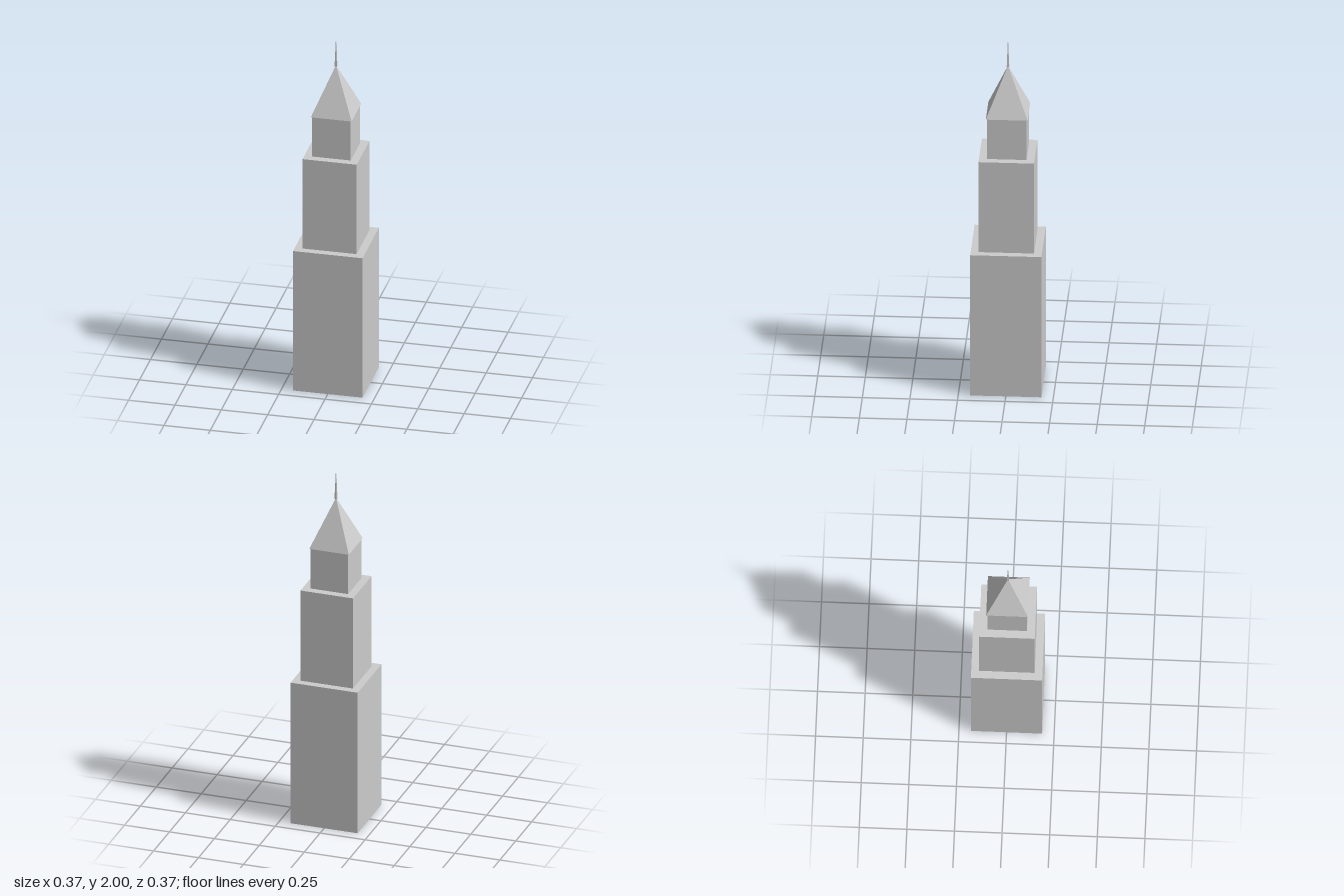
import * as THREE from 'three';

export function createModel() {
  const group = new THREE.Group();
  const stone = new THREE.MeshStandardMaterial({ color: 0xcccccc, side: THREE.DoubleSide });

  const add = (name, geometry) => {
    const mesh = new THREE.Mesh(geometry, stone);
    mesh.name = name;
    group.add(mesh);
  };

  // Square tier with walls and a flat top, open underneath
  const tier = (name, half, y0, y1) => {
    const geometry = new THREE.BoxGeometry(half * 2, y1 - y0, half * 2);
    geometry.translate(0, (y0 + y1) / 2, 0);
    const index = Array.from(geometry.index.array);
    index.splice(18, 6); // remove the bottom face
    geometry.setIndex(index);
    geometry.clearGroups();
    add(name, geometry);
  };

  // Four-sided pyramid with its sides along x and z
  const pyramid = (name, half, y0, y1) => {
    const geometry = new THREE.ConeGeometry(half * Math.SQRT2, y1 - y0, 4)
      .rotateY(Math.PI / 4)
      .translate(0, (y0 + y1) / 2, 0)
      .toNonIndexed();
    geometry.computeVertexNormals(); // flat facets
    add(name, geometry);
  };

  // Stepped tower
  tier('lowerTier', 0.187, 0, 0.814);
  tier('middleTier', 0.146, 0.814, 1.336);
  tier('upperTier', 0.104, 1.336, 1.567);

  // Overhanging roof and needle
  pyramid('roof', 0.11, 1.567, 1.832);
  pyramid('spire', 0.0065, 1.826, 2);

  return group;
}
